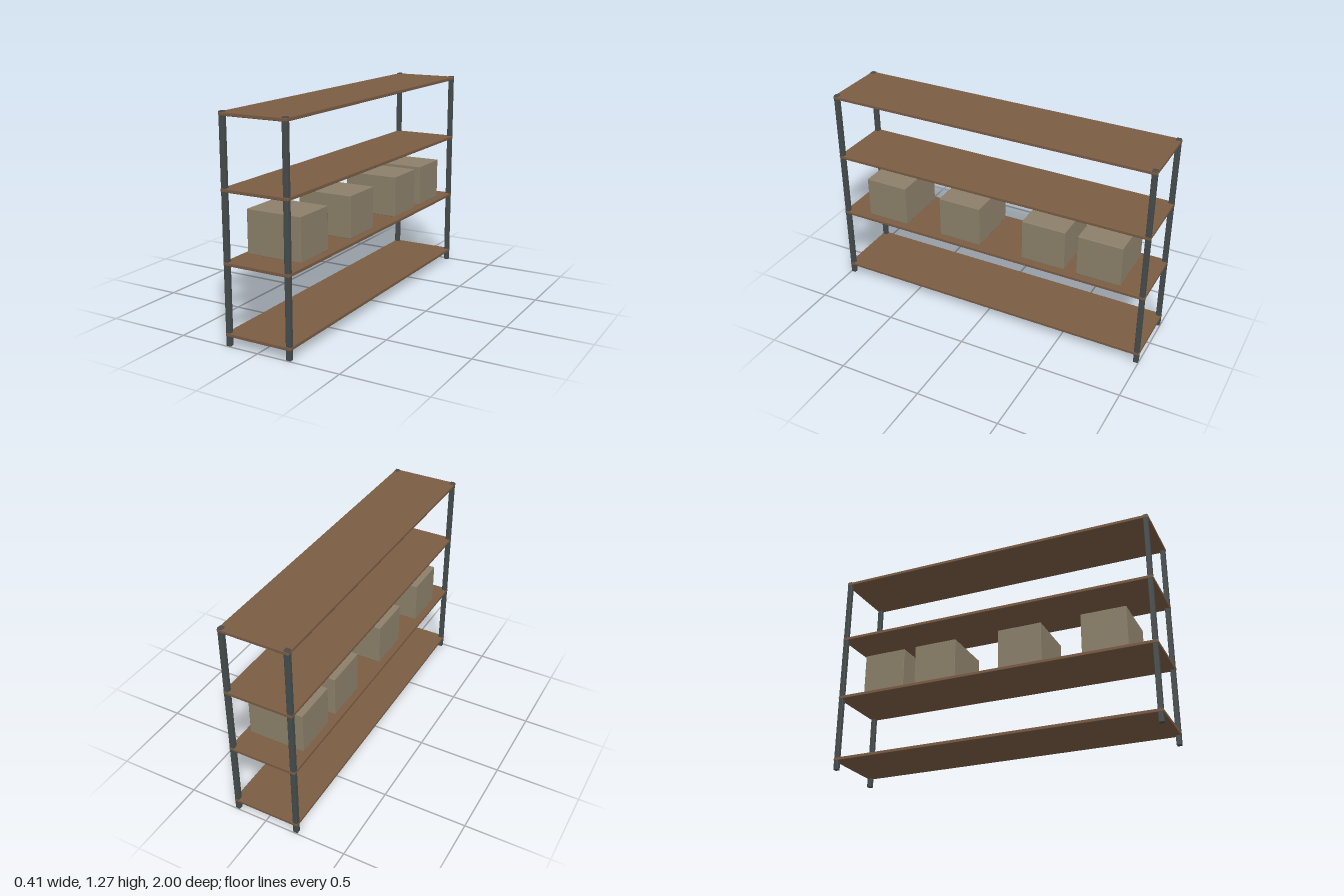
import * as THREE from 'three';
import { RoundedBoxGeometry } from 'three/addons/geometries/RoundedBoxGeometry.js';

const metal = new THREE.MeshStandardMaterial({ color: 0x464c4d });
const wood = new THREE.MeshStandardMaterial({ color: 0x7a5c43 });
const card = new THREE.MeshStandardMaterial({ color: 0x8c806a });

export function createModel() {
  const model = new THREE.Group();
  model.name = 'shelfRack';

  const addBlock = (name, material, size, position, bevel) => {
    const mesh = new THREE.Mesh(new RoundedBoxGeometry(...size, 1, bevel), material);
    mesh.name = name;
    mesh.position.set(...position);
    model.add(mesh);
  };

  // Four corner posts
  for (const x of [-1, 1]) {
    for (const z of [-1, 1]) {
      const name = `${z > 0 ? 'front' : 'back'}${x > 0 ? 'Left' : 'Right'}Post`;
      addBlock(name, metal, [0.029, 1.27, 0.029], [x * 0.1915, 0.635, z * 0.9835], 0.004);
    }
  }

  // Four evenly spaced boards
  for (let i = 0; i < 4; i++) {
    addBlock(`shelf${i + 1}`, wood, [0.414, 0.02, 2], [0, 0.066 + i * 0.3963, 0], 0.004);
  }

  // Storage boxes above the second board
  [0.695, 0.185, -0.362, -0.708].forEach((z, i) => {
    addBlock(`storageBox${i + 1}`, card, [0.34, 0.25, 0.27], [0, 0.602, z], 0.003);
  });

  return model;
}
